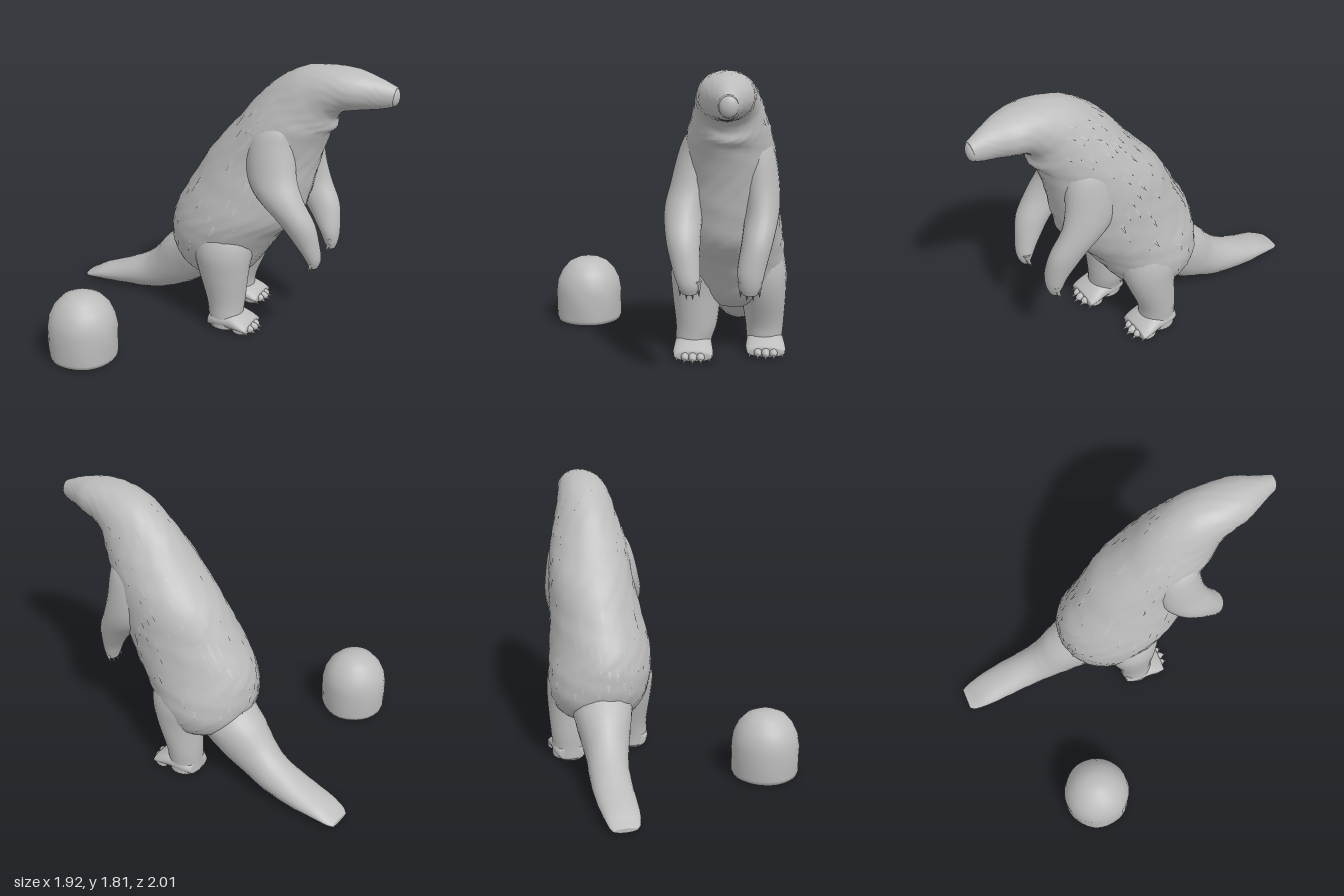
import * as THREE from 'three';
import { mergeGeometries, mergeVertices } from 'three/addons/utils/BufferGeometryUtils.js';

const YAW = 0.48; // the animal stands turned towards its left
const HEAD = new THREE.Vector3(Math.sin(YAW), 0, Math.cos(YAW));
const SIDE = new THREE.Vector3(Math.cos(YAW), 0, -Math.sin(YAW));
const UP = new THREE.Vector3(0, 1, 0);

// Catmull-Rom value between b and c
const cr = (a, b, c, d, t) =>
  0.5 * (2 * b + (c - a) * t + (2 * a - 5 * b + 4 * c - d) * t * t + (3 * b - a - 3 * c + d) * t * t * t);

// Smooth skin over rings [x, y, z, halfWidth, halfDepth, pitch in degrees]
function loft(rings, seg = 24, sub = 5, rough = 0) {
  const list = [];
  const n = rings.length;
  for (let i = 0; i < n - 1; i++) {
    const [a, b, c, d] = [-1, 0, 1, 2].map(k => rings[Math.min(n - 1, Math.max(0, i + k))]);
    for (let k = 0; k < sub; k++) list.push(b.map((_, m) => cr(a[m], b[m], c[m], d[m], k / sub)));
  }
  list.push(rings[n - 1]);
  // rounded-off closed ends
  const shrink = (r, f) => [r[0], r[1], r[2], r[3] * f, r[4] * f, r[5]];
  list.unshift(shrink(rings[0], 0), shrink(rings[0], 0.7));
  list.push(shrink(rings[n - 1], 0.7), shrink(rings[n - 1], 0));

  const pos = [], index = [];
  list.forEach(([x, y, z, w, d, pitch = 0], i) => {
    const p = THREE.MathUtils.degToRad(pitch);
    const fwd = HEAD.clone().multiplyScalar(Math.cos(p)).addScaledVector(UP, -Math.sin(p));
    for (let j = 0; j < seg; j++) {
      const t = j / seg * Math.PI * 2;
      const k = 1 + rough * Math.sin(9 * t + 2 * Math.sin(i * 0.6)) * Math.sin(i * 0.9 + 5 * t);
      const v = new THREE.Vector3(x, y, z)
        .addScaledVector(SIDE, w * k * Math.cos(t)).addScaledVector(fwd, d * k * Math.sin(t));
      pos.push(v.x, Math.max(0.005, v.y), v.z);
      if (i < list.length - 1) {
        const a = i * seg + j, b = i * seg + (j + 1) % seg;
        index.push(a, a + seg, b, b, a + seg, b + seg);
      }
    }
  });
  const g = new THREE.BufferGeometry();
  g.setAttribute('position', new THREE.Float32BufferAttribute(pos, 3));
  g.setIndex(index);
  g.computeVertexNormals();
  return g;
}

// Cone with its base at "from" and its point at "to"
function spike(from, to, r) {
  const dir = to.clone().sub(from);
  const g = new THREE.ConeGeometry(r, dir.length(), 8);
  g.applyQuaternion(new THREE.Quaternion().setFromUnitVectors(UP, dir.clone().normalize()));
  const m = from.clone().addScaledVector(dir, 0.5);
  return g.translate(m.x, m.y, m.z);
}

const at = (o, f, s, y) => o.clone().addScaledVector(HEAD, f).addScaledVector(SIDE, s).setY(y);

// Small pointed locks lying on the back and flanks
function furTufts(g, seg) {
  const p = g.attributes.position, nr = g.attributes.normal, out = [];
  let seed = 7;
  const rnd = () => (seed = (seed * 16807) % 2147483647) / 2147483647;
  const V = i => new THREE.Vector3().fromBufferAttribute(p, i);
  for (let i = 2 * seg; i < p.count; i++) {
    const y = p.getY(i), j = i % seg;
    if (y < 0.5 || p.getZ(i) > 0.5 || (j > seg * 0.06 && j < seg * 0.44) || rnd() > 0.15) continue;
    const n = new THREE.Vector3().fromBufferAttribute(nr, i);
    const low = V(i - 2 * seg);
    const root = V(i).addScaledVector(n, -0.002);
    const across = low.clone().sub(root).cross(n).normalize().multiplyScalar(0.016);
    const tip = low.addScaledVector(n, 0.007);
    out.push(...root.clone().add(across).toArray(), ...root.clone().sub(across).toArray(), ...tip.toArray());
  }
  const t = new THREE.BufferGeometry();
  t.setAttribute('position', new THREE.Float32BufferAttribute(out, 3));
  t.computeVertexNormals();
  return t;
}

export function createModel() {
  const model = new THREE.Group();
  const grey = new THREE.MeshStandardMaterial({ color: 0xbcbcbc, side: THREE.DoubleSide });
  grey.name = 'plainGrey';
  const add = (name, g) => {
    const m = new THREE.Mesh(g, grey);
    m.name = name;
    model.add(m);
  };

  // Rump, belly, chest, neck, head and snout in one skin
  const body = loft([
    [0.40, 0.30, 0.0, 0.14, 0.12, 0],
    [0.40, 0.37, -0.01, 0.26, 0.24, 0],
    [0.395, 0.5, 0.0, 0.325, 0.325, 0],
    [0.40, 0.65, 0.05, 0.34, 0.38, 0],
    [0.43, 0.8, 0.13, 0.33, 0.425, 0],
    [0.48, 1.0, 0.20, 0.305, 0.40, 0],
    [0.53, 1.2, 0.265, 0.28, 0.365, 0],
    [0.58, 1.4, 0.38, 0.255, 0.295, 5],
    [0.63, 1.53, 0.475, 0.215, 0.25, 25],
    [0.675, 1.63, 0.57, 0.185, 0.195, 50],
    [0.73, 1.675, 0.68, 0.165, 0.148, 72],
    [0.79, 1.68, 0.78, 0.145, 0.125, 88],
    [0.845, 1.67, 0.87, 0.1, 0.102, 97],
    [0.89, 1.66, 0.935, 0.068, 0.08, 100],
    [0.915, 1.658, 0.975, 0.052, 0.062, 98]
  ], 40, 5, 0.016);
  add('body', body);
  add('furTufts', furTufts(body, 40));

  // Nose tip
  add('nose', new THREE.SphereGeometry(1, 20, 14).scale(0.052, 0.06, 0.035).rotateY(YAW).translate(0.913, 1.659, 0.967));

  // Tail, from the flat tip up into the rump
  add('tail', loft([
    [-0.09, 0.024, -0.965, 0.075, 0.016, 90],
    [-0.075, 0.034, -0.93, 0.097, 0.027, 90],
    [-0.03, 0.06, -0.85, 0.115, 0.054, 90],
    [0.06, 0.095, -0.7, 0.125, 0.09, 90],
    [0.15, 0.145, -0.53, 0.128, 0.13, 82],
    [0.205, 0.215, -0.4, 0.14, 0.155, 65],
    [0.26, 0.31, -0.28, 0.17, 0.185, 50],
    [0.32, 0.43, -0.15, 0.2, 0.19, 35],
    [0.37, 0.55, -0.06, 0.2, 0.18, 25]
  ], 24, 5, 0.02));

  // Hind legs, feet and toes
  const legs = {
    left: [
      [0.59, 0.02, -0.07, 0.115, 0.11], [0.59, 0.1, -0.065, 0.115, 0.115],
      [0.592, 0.2, -0.06, 0.123, 0.125], [0.60, 0.4, -0.02, 0.145, 0.165],
      [0.58, 0.55, -0.01, 0.165, 0.2], [0.545, 0.68, 0.01, 0.16, 0.2], [0.48, 0.82, 0.05, 0.12, 0.15]],
    right: [
      [0.25, 0.02, 0.24, 0.11, 0.11], [0.25, 0.1, 0.235, 0.115, 0.115],
      [0.26, 0.2, 0.22, 0.13, 0.13], [0.25, 0.4, 0.2, 0.155, 0.17],
      [0.26, 0.55, 0.18, 0.18, 0.2], [0.30, 0.68, 0.16, 0.175, 0.2], [0.37, 0.82, 0.14, 0.12, 0.15]]
  };
  for (const [name, rings] of Object.entries(legs)) {
    add(name + 'Leg', loft(rings));
    const o = new THREE.Vector3(rings[0][0], 0, rings[0][2]);
    const foot = [[-0.1, 0.085, 0.05], [-0.04, 0.112, 0.068], [0.06, 0.118, 0.068], [0.13, 0.124, 0.052], [0.185, 0.118, 0.034]]
      .map(([f, w, h]) => [...at(o, f, f * 0.06, h + 0.005).toArray(), w, h, 90]);
    add(name + 'Foot', loft(foot));
    const toes = [];
    for (let i = -2; i <= 2; i++) {
      const reach = 0.18 - 0.012 * i * i, s = 0.01 + i * 0.048;
      const p = at(o, reach, s, 0.034);
      toes.push(new THREE.SphereGeometry(1, 10, 8).scale(0.028, 0.03, 0.05).rotateY(YAW).translate(p.x, p.y, p.z));
      toes.push(spike(at(o, reach + 0.02, s, 0.03), at(o, reach + 0.07, s * 1.08, 0.012), 0.018));
    }
    add(name + 'Toes', mergeGeometries(toes));
  }

  // Forelegs hanging down with bent elbows, and their claws
  const arms = {
    left: [
      [0.84, 0.555, 0.585, 0.04, 0.028], [0.84, 0.61, 0.582, 0.064, 0.048], [0.835, 0.70, 0.56, 0.08, 0.074],
      [0.83, 0.85, 0.485, 0.09, 0.12], [0.80, 1.0, 0.38, 0.1, 0.155],
      [0.77, 1.14, 0.345, 0.11, 0.16], [0.735, 1.32, 0.355, 0.118, 0.15],
      [0.70, 1.42, 0.39, 0.112, 0.13], [0.65, 1.5, 0.44, 0.08, 0.09]],
    right: [
      [0.54, 0.555, 0.75, 0.04, 0.028], [0.535, 0.61, 0.75, 0.064, 0.048], [0.505, 0.70, 0.73, 0.08, 0.072],
      [0.45, 0.85, 0.675, 0.1, 0.115], [0.39, 1.0, 0.57, 0.115, 0.15],
      [0.385, 1.14, 0.49, 0.12, 0.16], [0.42, 1.32, 0.45, 0.125, 0.15],
      [0.465, 1.42, 0.46, 0.115, 0.13], [0.54, 1.5, 0.48, 0.08, 0.09]]
  };
  for (const [name, rings] of Object.entries(arms)) {
    add(name + 'Foreleg', loft(rings));
    const o = new THREE.Vector3(rings[0][0], 0, rings[0][2]);
    const claws = [];
    for (let i = -1.5; i <= 1.5; i++) {
      const s = i * 0.033, drop = 0.01 * i * i;
      claws.push(spike(at(o, 0.005, s * 0.9, 0.635), at(o, 0, s * 1.1, 0.53 + drop), 0.027));
      claws.push(spike(at(o, 0.003, s, 0.575 + drop), at(o, -0.02, s * 1.12, 0.51 + drop), 0.015));
    }
    add(name + 'Claws', mergeGeometries(claws));
  }

  // Separate domed boulder with a flat base
  const profile = [[0, 0.008], [0.13, 0.008], [0.212, 0.012], [0.22, 0.04], [0.222, 0.14], [0.222, 0.22], [0.21, 0.29],
    [0.18, 0.355], [0.13, 0.41], [0.07, 0.438], [0, 0.442]].map(p => new THREE.Vector2(...p));
  const lathe = new THREE.LatheGeometry(profile, 32);
  lathe.deleteAttribute('uv');
  lathe.deleteAttribute('normal');
  const boulder = mergeVertices(lathe);
  const bp = boulder.attributes.position;
  for (let i = 0; i < bp.count; i++) {
    const x = bp.getX(i), y = bp.getY(i), z = bp.getZ(i);
    const k = 1 + 0.015 * Math.sin(x * 23 + y * 17) * Math.cos(z * 21 - y * 11);
    bp.setXYZ(i, x * k, y, z * k);
  }
  boulder.computeVertexNormals();
  add('boulder', boulder.translate(-0.735, 0, 0.035));

  return model;
}
